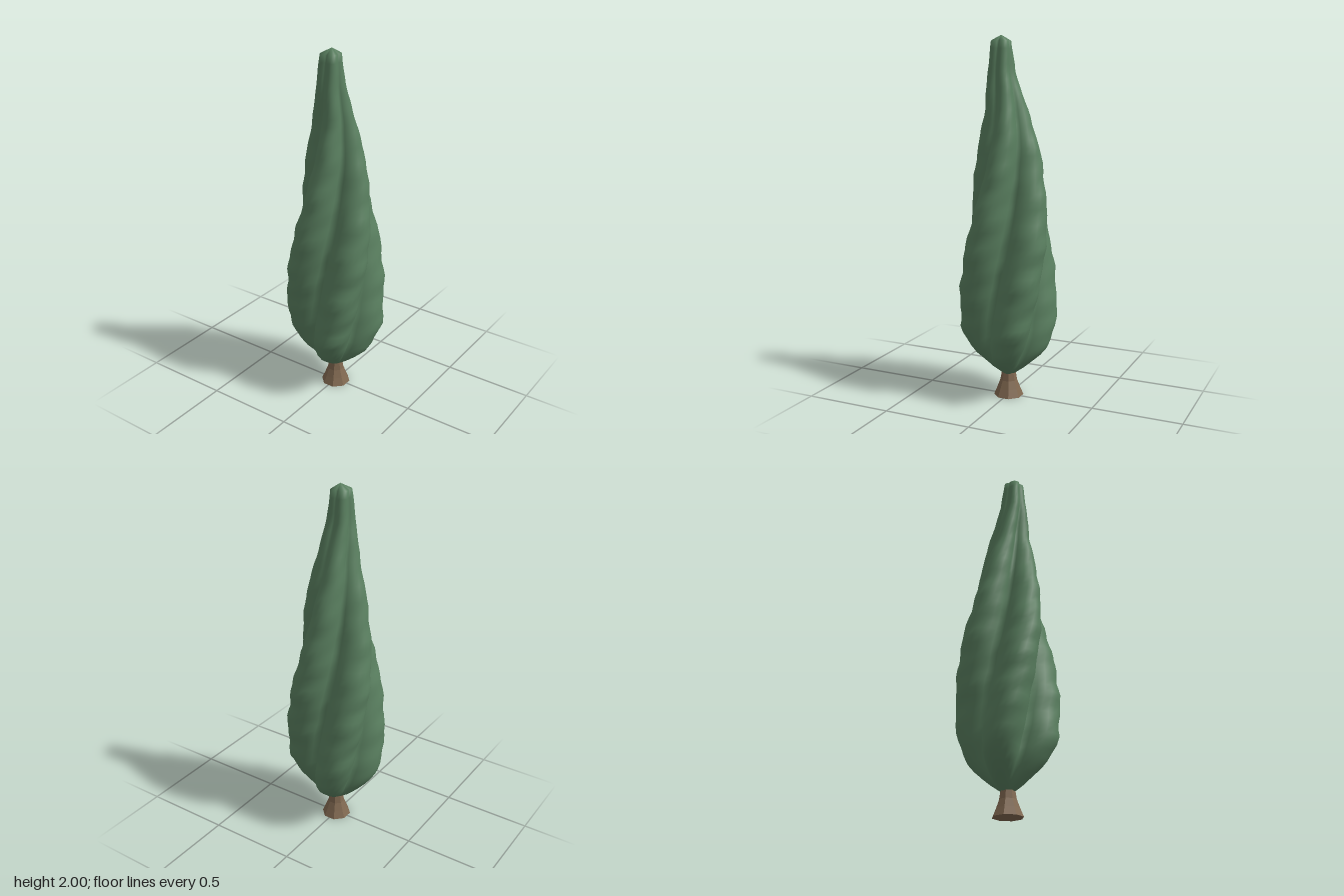
import * as THREE from 'three';

const leafGreen = new THREE.MeshStandardMaterial({ color: 0x5a8060 });
const barkBrown = new THREE.MeshStandardMaterial({ color: 0x806850 });

// Linear lookup through [height, value] pairs
function sample(points, y) {
  for (let i = 1; i < points.length; i++) {
    const [y0, v0] = points[i - 1], [y1, v1] = points[i];
    if (y <= y1) return THREE.MathUtils.lerp(v0, v1, (y - y0) / (y1 - y0));
  }
  return points[points.length - 1][1];
}

// Lobe radius, groove floor as a share of it, and sideways lean by height
const RADIUS = [[0.13, 0.035], [0.16, 0.08], [0.2, 0.13], [0.25, 0.185], [0.3, 0.222], [0.4, 0.266],
  [0.65, 0.278], [0.9, 0.268], [1.05, 0.245], [1.2, 0.216], [1.4, 0.172], [1.6, 0.117], [1.8, 0.076], [1.97, 0.056]];
const FLOOR = [[0.13, 0.9], [0.25, 0.6], [0.4, 0.5], [1.2, 0.5], [1.6, 0.6], [1.97, 0.72]];
const LEAN = [[0.13, 0], [1.4, 0], [1.6, -0.013], [1.8, -0.042], [1.97, -0.044]];
const TWIST = THREE.MathUtils.degToRad(70);

// Four-lobed crown that twists as it rises
function crownGeometry() {
  const rows = 46, sides = 48, y0 = 0.13, y1 = 1.97;
  const pos = [], index = [];
  for (let j = 0; j <= rows; j++) {
    const y = y0 + (y1 - y0) * j / rows;
    const radius = sample(RADIUS, y), floor = sample(FLOOR, y), lean = sample(LEAN, y);
    for (let i = 0; i < sides; i++) {
      const phi = i / sides * Math.PI * 2;
      const angle = phi + TWIST * (y - 0.65);
      const lobe = floor + (1 - floor) * Math.abs(Math.sin(2 * phi));
      const bump = 1 + 0.016 * Math.sin(y * 27 + 3 * phi) + 0.012 * Math.sin(y * 43 - 5 * phi);
      const r = radius * lobe * bump;
      pos.push(lean + r * Math.sin(angle), y, r * Math.cos(angle));
    }
  }
  for (let j = 0; j < rows; j++) {
    for (let i = 0; i < sides; i++) {
      const a = j * sides + i, b = j * sides + (i + 1) % sides;
      index.push(a, b, b + sides, a, b + sides, a + sides);
    }
  }
  // Closing points below and at the tip
  const base = pos.length / 3, tip = base + 1, last = rows * sides;
  pos.push(0, 0.125, 0, -0.042, 2, 0.005);
  for (let i = 0; i < sides; i++) {
    const n = (i + 1) % sides;
    index.push(base, n, i, tip, last + i, last + n);
  }
  const geometry = new THREE.BufferGeometry();
  geometry.setAttribute('position', new THREE.Float32BufferAttribute(pos, 3));
  geometry.setIndex(index);
  geometry.computeVertexNormals();
  return geometry;
}

// Flared, faceted trunk
function trunkGeometry() {
  const profile = [[0, 0], [0.083, 0], [0.064, 0.045], [0.047, 0.09], [0.037, 0.15]]
    .map(([r, y]) => new THREE.Vector2(r, y));
  const geometry = new THREE.LatheGeometry(profile, 8, Math.PI / 8).toNonIndexed();
  geometry.computeVertexNormals();
  return geometry;
}

export function createModel() {
  const tree = new THREE.Group();
  tree.name = 'cypressTree';
  const crown = new THREE.Mesh(crownGeometry(), leafGreen);
  crown.name = 'crown';
  const trunk = new THREE.Mesh(trunkGeometry(), barkBrown);
  trunk.name = 'trunk';
  tree.add(crown, trunk);
  return tree;
}
